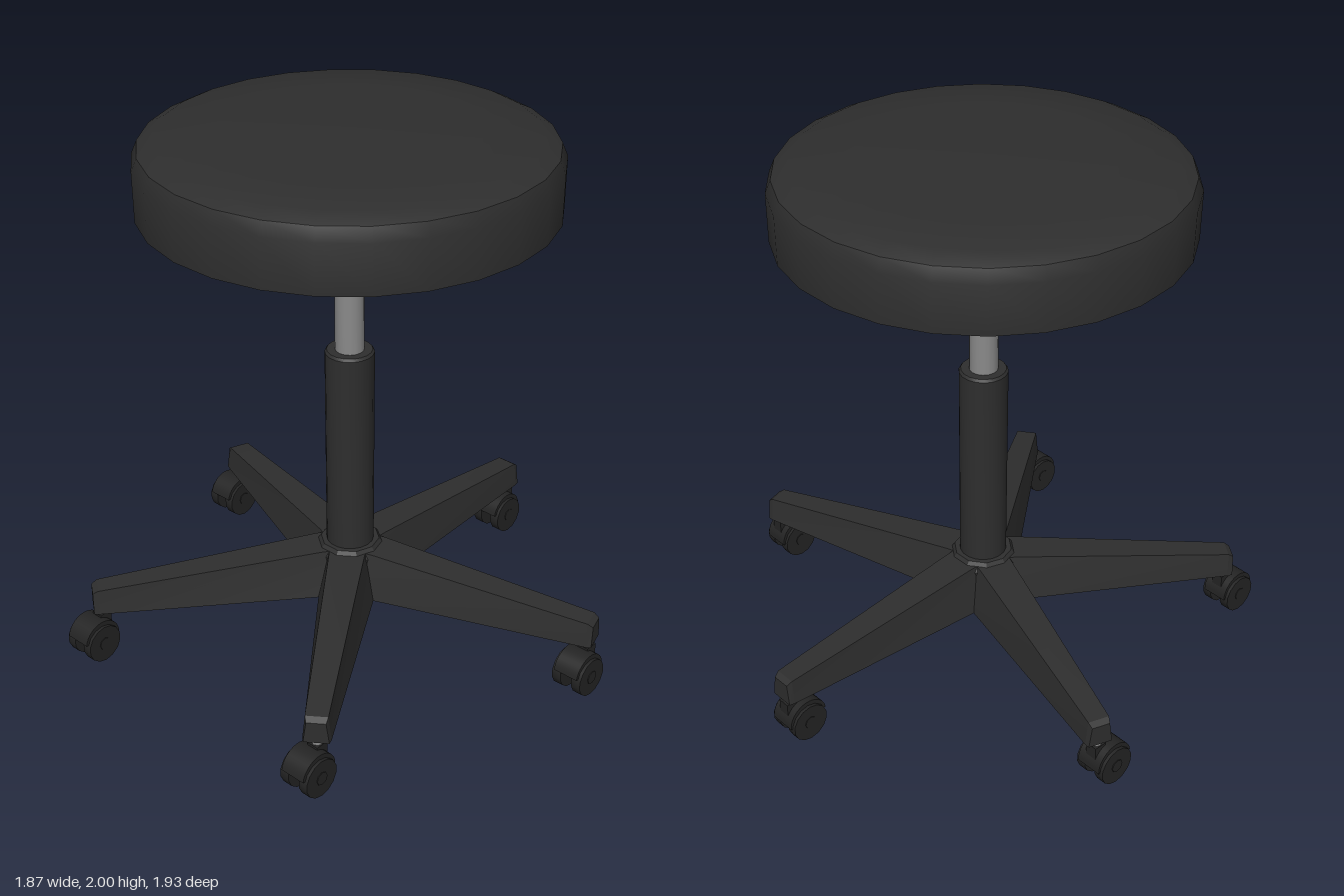
import * as THREE from 'three';
import { toCreasedNormals } from 'three/addons/utils/BufferGeometryUtils.js';

const material = (name, color, side = THREE.FrontSide) => {
  const m = new THREE.MeshStandardMaterial({ color, side });
  m.name = name;
  return m;
};

export function createModel() {
  const black = material('black', 0x2e2e2e);
  const wheelBlack = material('wheel black', 0x242424);
  const steel = material('steel grey', 0x8a8a8a);

  const model = new THREE.Group();
  model.name = 'stool';
  const AXIS_X = -0.056; // the column stands slightly off the middle of the five-star base

  const add = (parent, name, geometry, mat, x = 0, y = 0, z = 0) => {
    const mesh = new THREE.Mesh(geometry, mat);
    mesh.name = name;
    mesh.position.set(x, y, z);
    parent.add(mesh);
    return mesh;
  };
  // Turned part from [radius, height] pairs, bottom to top
  const lathe = (profile, segments, crease = 0.6) => toCreasedNormals(
    new THREE.LatheGeometry(profile.map(([r, y]) => new THREE.Vector2(r, y)), segments), crease);

  // Padded round seat with a recessed underside
  add(model, 'seat', lathe([
    [0, 1.74], [0.65, 1.74], [0.66, 1.73], [0.733, 1.73], [0.735, 1.91], [0.715, 1.957],
    [0.66, 1.985], [0.45, 1.994], [0, 2],
  ], 26), black, AXIS_X);

  // Seat mount: a shallow cone under the seat
  add(model, 'seatMount', lathe([
    [0, 1.615], [0.05, 1.615], [0.11, 1.665], [0.185, 1.71], [0.2, 1.742],
  ], 12, 0.5), black, AXIS_X);

  // Height lever: flat blade tapering outwards
  const lever = new THREE.BoxGeometry(0.36, 0.02, 0.05);
  const lp = lever.attributes.position;
  for (let i = 0; i < lp.count; i++) if (lp.getX(i) > 0) lp.setZ(i, lp.getZ(i) * 0.6);
  lever.computeVertexNormals();
  add(model, 'heightLever', lever, black, 0.195, 1.681, 0).rotation.z = -0.2;

  // Gas lift: steel piston inside a black sleeve
  add(model, 'piston', lathe([[0.053, 1.1], [0.053, 1.62], [0, 1.62]], 16), steel, AXIS_X);
  add(model, 'columnSleeve', lathe([
    [0, 0.165], [0.088, 0.165], [0.09, 1.165], [0.083, 1.175], [0, 1.175],
  ], 18), black, AXIS_X);
  add(model, 'hub', lathe([
    [0, 0.19], [0.13, 0.19], [0.135, 0.345], [0.11, 0.38], [0, 0.38],
  ], 10, 0.3), black, AXIS_X);

  // Leg: a box narrowed towards its tip, top sloping down, sides drafted
  const legGeometry = new THREE.BoxGeometry(1, 1, 1, 3, 1, 1);
  const p = legGeometry.attributes.position;
  const stations = [ // radius, top height, half width at top, half width at bottom
    [0.03, 0.368, 0.07, 0.115], [0.12, 0.365, 0.066, 0.105],
    [0.955, 0.286, 0.04, 0.05], [0.975, 0.272, 0.034, 0.045],
  ];
  for (let i = 0; i < p.count; i++) {
    const [r, top, halfTop, halfBottom] = stations[Math.round((p.getX(i) + 0.5) * 3)];
    const upper = p.getY(i) > 0;
    p.setXYZ(i, r, upper ? top : 0.19, Math.sign(p.getZ(i)) * (upper ? halfTop : halfBottom));
  }
  const legFaces = toCreasedNormals(legGeometry, 0.15);

  // Caster parts; wheel axles run along z
  const wheelGeometry = toCreasedNormals(
    new THREE.CylinderGeometry(0.073, 0.073, 0.038, 14).rotateX(Math.PI / 2), 0.6);
  const hoodShape = new THREE.Shape();
  hoodShape.absarc(0, 0, 0.079, -0.1, Math.PI * 0.95, false);
  hoodShape.absarc(0, 0, 0.045, Math.PI * 0.95, -0.1, true);
  const hoodGeometry = toCreasedNormals(new THREE.ExtrudeGeometry(hoodShape,
    { depth: 0.1, bevelEnabled: false, curveSegments: 8 }).translate(0, 0, -0.05), 0.5);

  const makeCaster = () => {
    const caster = new THREE.Group();
    caster.name = 'caster';
    for (const side of [-1, 1]) add(caster, 'wheel', wheelGeometry, wheelBlack, 0, 0.074, side * 0.043);
    add(caster, 'hood', hoodGeometry, wheelBlack, 0, 0.085, 0);
    const axle = add(caster, 'axle', new THREE.CylinderGeometry(0.025, 0.025, 0.13, 8), wheelBlack, 0, 0.076, 0);
    axle.rotation.x = Math.PI / 2;
    add(caster, 'stemSocket', new THREE.BoxGeometry(0.05, 0.09, 0.045), wheelBlack, 0.045, 0.125, 0);
    add(caster, 'stem', new THREE.CylinderGeometry(0.02, 0.02, 0.06, 8), steel, 0.045, 0.18, 0);
    return caster;
  };

  // Five legs, each with a caster; all casters trail towards -x
  for (let i = 0; i < 5; i++) {
    const angle = i * Math.PI * 2 / 5;
    add(model, 'leg', legFaces, black, AXIS_X).rotation.y = -angle;
    const caster = makeCaster();
    caster.position.set(AXIS_X + 0.945 * Math.cos(angle) - 0.045, 0, 0.945 * Math.sin(angle));
    model.add(caster);
  }
  return model;
}
